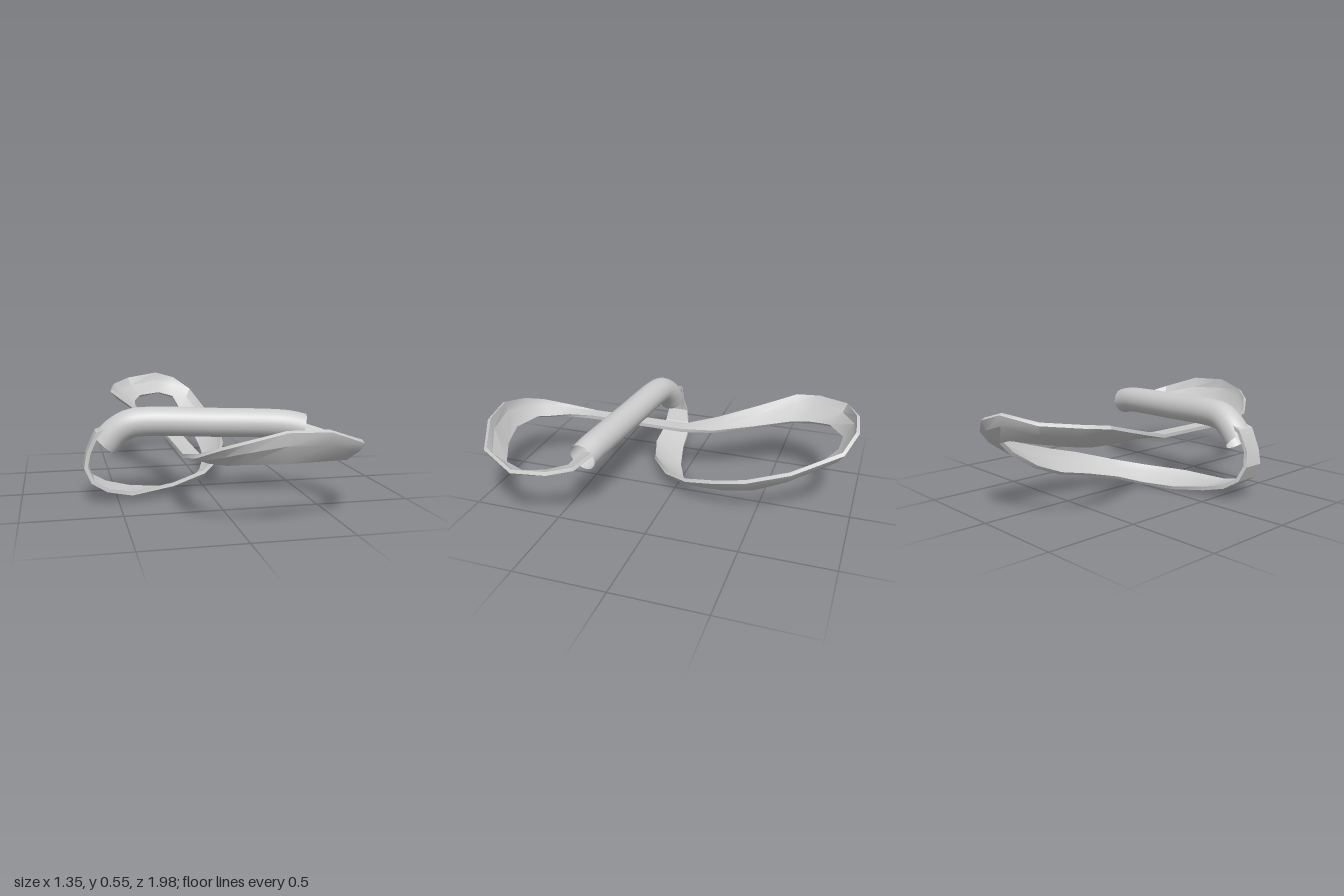
import * as THREE from 'three';
import { toCreasedNormals } from 'three/addons/utils/BufferGeometryUtils.js';

// Both edges of the webbing, station by station, from one sleeve end to the other.
const OUTER_EDGE = [
  [-0.5, 0.42, 0.27], [-0.61, 0.385, 0.265], [-0.66, 0.28, 0.26], [-0.675, 0.2, 0.26], [-0.64, 0.12, 0.27],
  [-0.56, 0.07, 0.27], [-0.43, 0.045, 0.27], [-0.2, 0.065, 0.2], [0, 0.09, 0.06], [0.12, 0.13, -0.1],
  [0.19, 0.19, -0.29], [0.21, 0.235, -0.46], [0.185, 0.31, -0.69], [0.11, 0.43, -0.94], [0, 0.51, -0.995],
  [-0.13, 0.55, -0.98], [-0.33, 0.52, -0.91], [-0.44, 0.5, -0.74], [-0.465, 0.48, -0.6], [-0.37, 0.42, -0.4],
  [-0.27, 0.355, -0.18], [-0.22, 0.305, 0], [-0.22, 0.305, 0.58], [-0.19, 0.34, 0.75], [-0.1, 0.4, 0.88],
  [0, 0.44, 0.95], [0.17, 0.485, 0.98], [0.38, 0.475, 0.95], [0.58, 0.4, 0.86], [0.67, 0.345, 0.66],
  [0.63, 0.34, 0.48], [0.57, 0.36, 0.35], [0.44, 0.4, 0.29],
];
const INNER_EDGE = [
  [-0.5, 0.42, 0.18], [-0.61, 0.385, 0.155], [-0.66, 0.28, 0.16], [-0.675, 0.2, 0.14], [-0.64, 0.12, 0.12],
  [-0.56, 0.07, 0.1], [-0.43, 0.035, 0.09], [-0.24, 0.008, 0.05], [-0.07, 0.015, -0.02], [0.02, 0.05, -0.13],
  [0.08, 0.09, -0.3], [0.09, 0.13, -0.48], [0.07, 0.2, -0.65], [0.02, 0.31, -0.83], [-0.02, 0.39, -0.915],
  [-0.12, 0.42, -0.925], [-0.26, 0.41, -0.83], [-0.31, 0.39, -0.72], [-0.32, 0.37, -0.6], [-0.25, 0.34, -0.4],
  [-0.16, 0.315, -0.18], [-0.135, 0.305, 0], [-0.14, 0.305, 0.57], [-0.125, 0.305, 0.72], [-0.06, 0.315, 0.82],
  [0, 0.33, 0.88], [0.17, 0.335, 0.925], [0.36, 0.325, 0.87], [0.53, 0.305, 0.78], [0.58, 0.295, 0.65],
  [0.55, 0.305, 0.52], [0.5, 0.33, 0.41], [0.41, 0.37, 0.37],
];
const THICKNESS = 0.02;

const toVectors = (list) => list.map((p) => new THREE.Vector3(...p));

// Sweeps a thin, slightly bowed section between two edge polylines.
function strapGeometry(outer, inner) {
  const count = outer.length;
  const middle = outer.map((p, i) => p.clone().lerp(inner[i], 0.5));
  const positions = [];
  const index = [];
  const ring = 6;

  for (let i = 0; i < count; i++) {
    const tangent = middle[Math.min(i + 1, count - 1)].clone().sub(middle[Math.max(i - 1, 0)]);
    const width = outer[i].clone().sub(inner[i]);
    const normal = tangent.cross(width).normalize();
    // banked stretches bulge outward, flat ones stay flat
    const bow = 0.12 * Math.abs(width.y);
    const crown = inner[i].clone().addScaledVector(width, 0.65).addScaledVector(normal, bow);
    const face = [outer[i], crown, inner[i]];
    const back = face.map((p) => p.clone().addScaledVector(normal, -THICKNESS)).reverse();
    for (const p of [...face, ...back]) positions.push(p.x, p.y, p.z);
  }
  for (let i = 0; i < count - 1; i++) {
    for (let k = 0; k < ring; k++) {
      const a = i * ring + k;
      const b = i * ring + ((k + 1) % ring);
      index.push(a, b, a + ring, b, b + ring, a + ring);
    }
  }
  // end caps
  const last = (count - 1) * ring;
  for (const [a, b, c, d] of [[0, 1, 4, 5], [1, 2, 3, 4]]) {
    index.push(a, c, b, a, d, c);
    index.push(last + a, last + b, last + c, last + a, last + c, last + d);
  }
  const geometry = new THREE.BufferGeometry();
  geometry.setAttribute('position', new THREE.Float32BufferAttribute(positions, 3));
  geometry.setIndex(index);
  return toCreasedNormals(geometry, 0.55);
}

export function createModel() {
  const group = new THREE.Group();
  group.name = 'strapWithSleeve';

  // Continuous looping webbing
  const strap = new THREE.Mesh(
    strapGeometry(toVectors(OUTER_EDGE), toVectors(INNER_EDGE)),
    new THREE.MeshStandardMaterial({ color: 0xcccccc })
  );
  strap.name = 'strap';
  group.add(strap);

  // Open padded sleeve, bent down at its right end
  const sleevePath = new THREE.CatmullRomCurve3(toVectors([
    [-0.565, 0.315, 0.215], [-0.51, 0.375, 0.222], [-0.44, 0.418, 0.235], [-0.36, 0.43, 0.245],
    [0, 0.42, 0.285], [0.3, 0.41, 0.32], [0.39, 0.402, 0.335], [0.465, 0.385, 0.35],
  ]));
  const sleeve = new THREE.Mesh(
    new THREE.TubeGeometry(sleevePath, 40, 0.076, 28),
    new THREE.MeshStandardMaterial({ color: 0xcccccc, side: THREE.DoubleSide })
  );
  sleeve.name = 'sleeve';
  group.add(sleeve);

  return group;
}
